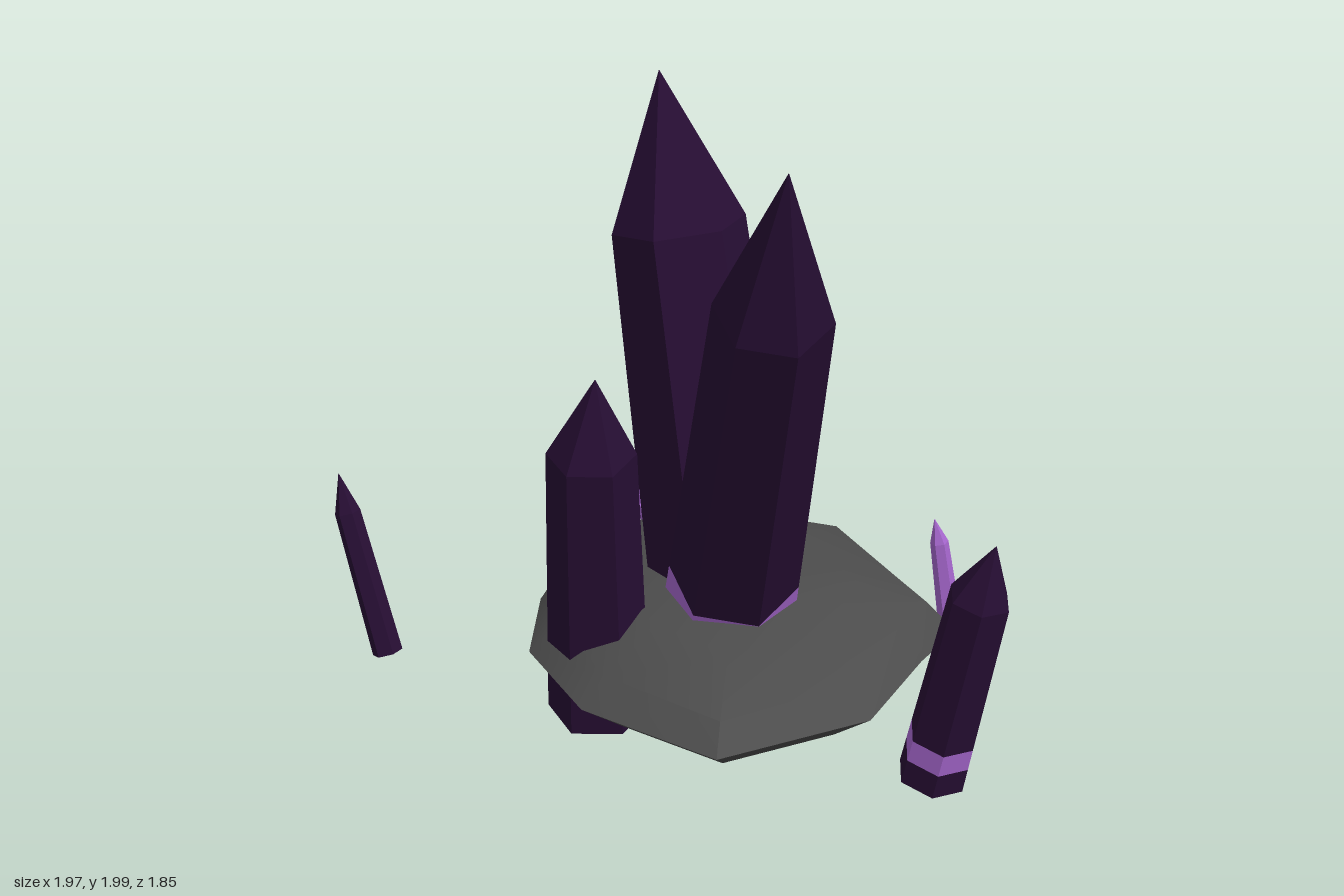
import * as THREE from 'three';
import { toCreasedNormals } from 'three/addons/utils/BufferGeometryUtils.js';

const V = (x, y, z) => new THREE.Vector3(x, y, z);

// Skin a stack of rings (bottom to top, same point count); zero-area faces are dropped
function loft(rings) {
  const pos = [];
  const tri = (a, b, c) => {
    const area = b.clone().sub(a).cross(c.clone().sub(a)).length();
    if (area > 1e-7) for (const p of [a, b, c]) pos.push(p.x, p.y, p.z);
  };
  for (let r = 0; r < rings.length - 1; r++) {
    const lo = rings[r], hi = rings[r + 1], n = lo.length;
    for (let i = 0; i < n; i++) {
      const j = (i + 1) % n;
      tri(lo[i], hi[i], lo[j]);
      tri(lo[j], hi[i], hi[j]);
    }
  }
  const geo = new THREE.BufferGeometry();
  geo.setAttribute('position', new THREE.Float32BufferAttribute(pos, 3));
  geo.computeVertexNormals();
  return geo;
}

// Tapered six-sided crystal from base to shoulder, with a pointed tip and an optional band
function crystal(name, { base, shoulder, tip, r0, r1, phase = 0, band, material, bandMaterial }) {
  const group = new THREE.Group();
  group.name = name;
  const a = V(...base), b = V(...shoulder), apex = V(...tip);
  const turn = new THREE.Quaternion().setFromUnitVectors(V(0, 1, 0), b.clone().sub(a).normalize());
  const ring = (t, scale = 1) => Array.from({ length: 6 }, (_, i) => {
    const angle = THREE.MathUtils.degToRad(phase + i * 60);
    const r = THREE.MathUtils.lerp(r0, r1, t) * scale;
    return V(Math.cos(angle) * r, 0, Math.sin(angle) * r).applyQuaternion(turn).add(a.clone().lerp(b, t));
  });
  const add = (part, rings, mat) => {
    const mesh = new THREE.Mesh(loft(rings), mat);
    mesh.name = part;
    group.add(mesh);
  };
  const point = Array(6).fill(apex);
  if (band) {
    add('crystalFoot', [ring(0, 0), ring(0), ring(band[0])], material);
    add('crystalBand', [ring(band[0]), ring(band[1])], bandMaterial);
    add('crystalShaft', [ring(band[1]), ring(1), point], material);
  } else {
    add('crystalShaft', [ring(0, 0), ring(0), ring(1), point], material);
  }
  return group;
}

export function createModel() {
  const model = new THREE.Group();
  model.name = 'crystalCluster';
  const mat = (name, color) => {
    const m = new THREE.MeshStandardMaterial({ color });
    m.name = name;
    return m;
  };
  const dark = mat('darkPurple', 0x270e34);
  const bright = mat('brightPurple', 0xa868d0);
  const stone = mat('stoneGrey', 0x4c4c4c);

  // Flat faceted rock: one outline scaled into stacked rings
  const outline = [
    [-0.22, -0.545], [0.19, -0.68], [0.605, -0.545], [0.81, -0.15], [0.905, 0.03], [0.79, 0.24],
    [0.625, 0.615], [0.19, 0.86], [-0.2, 0.575], [-0.375, 0.21], [-0.365, -0.155], [-0.32, -0.35],
  ];
  const cx = 0.25, cz = 0.09;
  const slab = (scale, height) => outline.map(([x, z]) => {
    const px = cx + (x - cx) * scale, pz = cz + (z - cz) * scale;
    return V(px, height(px, pz), pz);
  });
  const rock = new THREE.Mesh(toCreasedNormals(loft([
    slab(0, () => 0.155),
    slab(0.74, () => 0.165),
    slab(1, () => 0.285),
    slab(0.86, (x, z) => 0.385 - 0.05 * z),
    slab(0.55, (x, z) => 0.47 - 0.05 * z - 0.03 * x),
    slab(0, () => 0.465),
  ]), 0.5), stone);
  rock.name = 'rockBase';
  model.add(rock);

  // Large crystals growing through the rock
  model.add(crystal('tallBackCrystal', {
    base: [0.25, 0.08, 0], shoulder: [0.06, 1.515, -0.13], tip: [0, 1.965, -0.19],
    r0: 0.24, r1: 0.2, phase: -10, material: dark,
  }));
  model.add(crystal('leaningFrontCrystal', {
    base: [0.19, 0.1, -0.03], shoulder: [0.33, 1.547, 0.717], tip: [0.36, 2, 0.925],
    r0: 0.205, r1: 0.167, phase: 6, band: [0.15, 0.3], material: dark, bandMaterial: bright,
  }));
  model.add(crystal('shortFrontCrystal', {
    base: [-0.17, 0.09, 0.17], shoulder: [-0.175, 1.0, 0.385], tip: [-0.16, 1.245, 0.435],
    r0: 0.153, r1: 0.13, material: dark,
  }));

  // Floating crystals around the rock
  model.add(crystal('bandedFloatingCrystal', {
    base: [0.8, 0.125, 0.64], shoulder: [0.905, 0.742, 0.76], tip: [0.94, 0.915, 0.796],
    r0: 0.102, r1: 0.09, phase: 30, band: [0.125, 0.235], material: dark, bandMaterial: bright,
  }));
  model.add(crystal('darkFloatingCrystal', {
    base: [-0.83, 0.158, -0.03], shoulder: [-0.944, 0.6, -0.09], tip: [-0.97, 0.72, -0.11],
    r0: 0.047, r1: 0.04, material: dark,
  }));
  model.add(crystal('brightSideCrystal', {
    base: [0.91, 0.168, -0.193], shoulder: [0.86, 0.49, -0.167], tip: [0.842, 0.57, -0.16],
    r0: 0.038, r1: 0.028, material: bright,
  }));
  model.add(crystal('brightBackCrystal', {
    base: [0.03, 0.165, -0.7], shoulder: [-0.115, 0.415, -0.88], tip: [-0.15, 0.478, -0.928],
    r0: 0.04, r1: 0.032, material: bright,
  }));

  return model;
}
